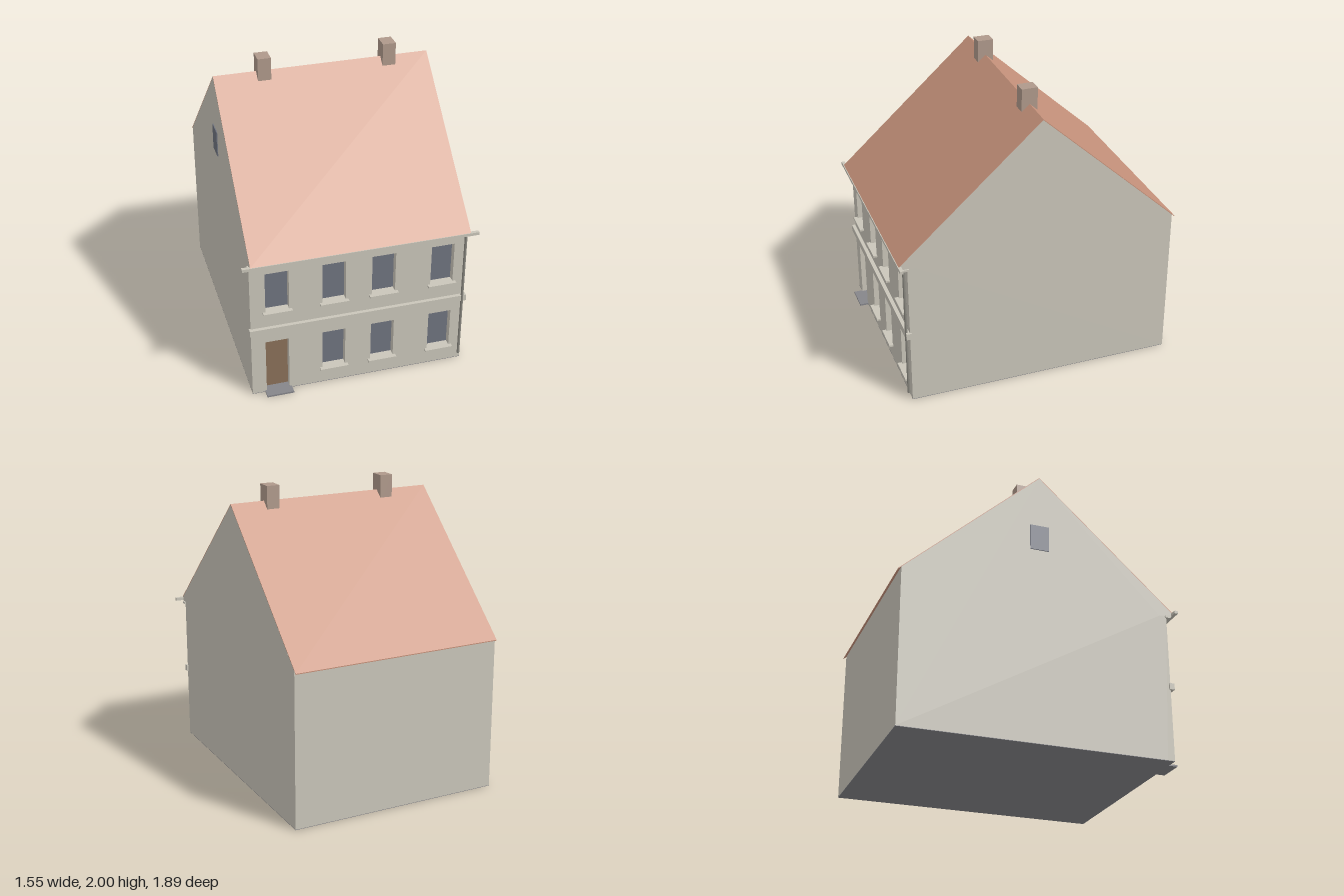
import * as THREE from 'three';

const mat = (name, color) => {
  const m = new THREE.MeshStandardMaterial({ color });
  m.name = name;
  return m;
};

export function createModel() {
  const house = new THREE.Group();
  house.name = 'house';
  const wall = mat('plaster', 0xc9c5b9);
  const roofTile = mat('roof tile', 0xc6927b);
  const glass = mat('window glass', 0x6f737f);
  const wood = mat('door wood', 0x8a7058);
  const brick = mat('chimney brick', 0xaf998b);
  const stone = mat('step stone', 0x85858a);
  const metal = mat('downpipe metal', 0x8a8880);

  const add = (name, geo, material) => {
    const mesh = new THREE.Mesh(geo, material);
    mesh.name = name;
    house.add(mesh);
    return mesh;
  };
  // Box given by its limits on each axis
  const box = (name, material, x0, x1, y0, y1, z0, z1) => {
    const geo = new THREE.BoxGeometry(x1 - x0, y1 - y0, z1 - z0);
    geo.translate((x0 + x1) / 2, (y0 + y1) / 2, (z0 + z1) / 2);
    return add(name, geo, material);
  };
  // Side profile of (z, y) points, run along the width of the house
  const L = -0.725, R = 0.72, front = 0.89, inner = 0.84;
  const acrossWidth = (name, material, points) => {
    const shape = new THREE.Shape(points.map(([z, y]) => new THREE.Vector2(z, y)));
    const geo = new THREE.ExtrudeGeometry(shape, { depth: R - L, bevelEnabled: false });
    geo.rotateY(-Math.PI / 2).translate(R, 0, 0);
    return add(name, geo, material);
  };

  // Body with both gables, up to the underside of the roof
  acrossWidth('body', wall, [
    [-0.925, 0.003], [inner, 0.003], [inner, 1.01], [0.925, 1.01], [0.945, 1.032],
    [0, 1.889], [-0.925, 1.05],
  ]);
  box('floor', stone, L, R, 0, 0.003, -0.925, front);

  // Thin roof covering with a small overhang at the back
  acrossWidth('roof', roofTile, [
    [-0.945, 1.032], [0, 1.889], [0.945, 1.032], [0.945, 1.038], [0, 1.895], [-0.945, 1.038],
  ]);

  // Openings of the front: x0, x1, y0, y1
  const windows = [];
  for (const [x0, x1] of [[-0.625, -0.47], [-0.25, -0.095], [0.08, 0.238], [0.48, 0.635]]) {
    windows.push([x0, x1, 0.645, 0.937]);
    if (x0 > -0.5) windows.push([x0, x1, 0.12, 0.407]);
  }
  const door = [-0.63, -0.475, 0.01, 0.407];

  // Front wall with deep reveals
  const rect = (Type, x0, x1, y0, y1) => new Type([
    new THREE.Vector2(x0, y0), new THREE.Vector2(x1, y0),
    new THREE.Vector2(x1, y1), new THREE.Vector2(x0, y1),
  ]);
  const facade = rect(THREE.Shape, L, R, 0.003, 1.01);
  for (const o of [...windows, door]) facade.holes.push(rect(THREE.Path, ...o));
  const facadeGeo = new THREE.ExtrudeGeometry(facade, { depth: front - inner, bevelEnabled: false });
  add('frontWall', facadeGeo.translate(0, 0, inner), wall);

  // Panes and sills
  for (const [x0, x1, y0, y1] of windows) {
    box('windowPane', glass, x0, x1, y0, y1, inner, inner + 0.005);
    box('windowSill', wall, x0 - 0.018, x1 + 0.018, y0 - 0.012, y0 + 0.001, front - 0.01, 0.918);
    box('sillInner', wall, x0, x1, y0 - 0.012, y0 + 0.001, inner, front - 0.01);
  }
  box('gableWindow', glass, L - 0.006, L, 1.34, 1.52, -0.07, 0.06);

  // Door and step
  box('door', wood, ...door, inner, inner + 0.005);
  box('doorStep', stone, -0.64, -0.46, 0, 0.012, 0.83, 0.95);

  // Storey band, cornice strip, gutter and downpipe
  box('storeyBand', wall, -0.735, 0.73, 0.487, 0.53, front - 0.01, 0.915);
  box('corniceStrip', wall, -0.735, 0.73, 1.0, 1.013, front - 0.01, 0.918);
  box('gutter', wall, -0.778, 0.775, 1.018, 1.038, 0.927, 0.95);
  const pipe = new THREE.CylinderGeometry(0.009, 0.009, 0.96, 10);
  add('downpipe', pipe.translate(0.702, 0.53, 0.91), metal);

  // Chimneys astride the ridge
  for (const x of [-0.398, 0.442]) {
    box('chimney', brick, x - 0.044, x + 0.044, 1.8, 2, -0.053, 0.053);
  }
  return house;
}
